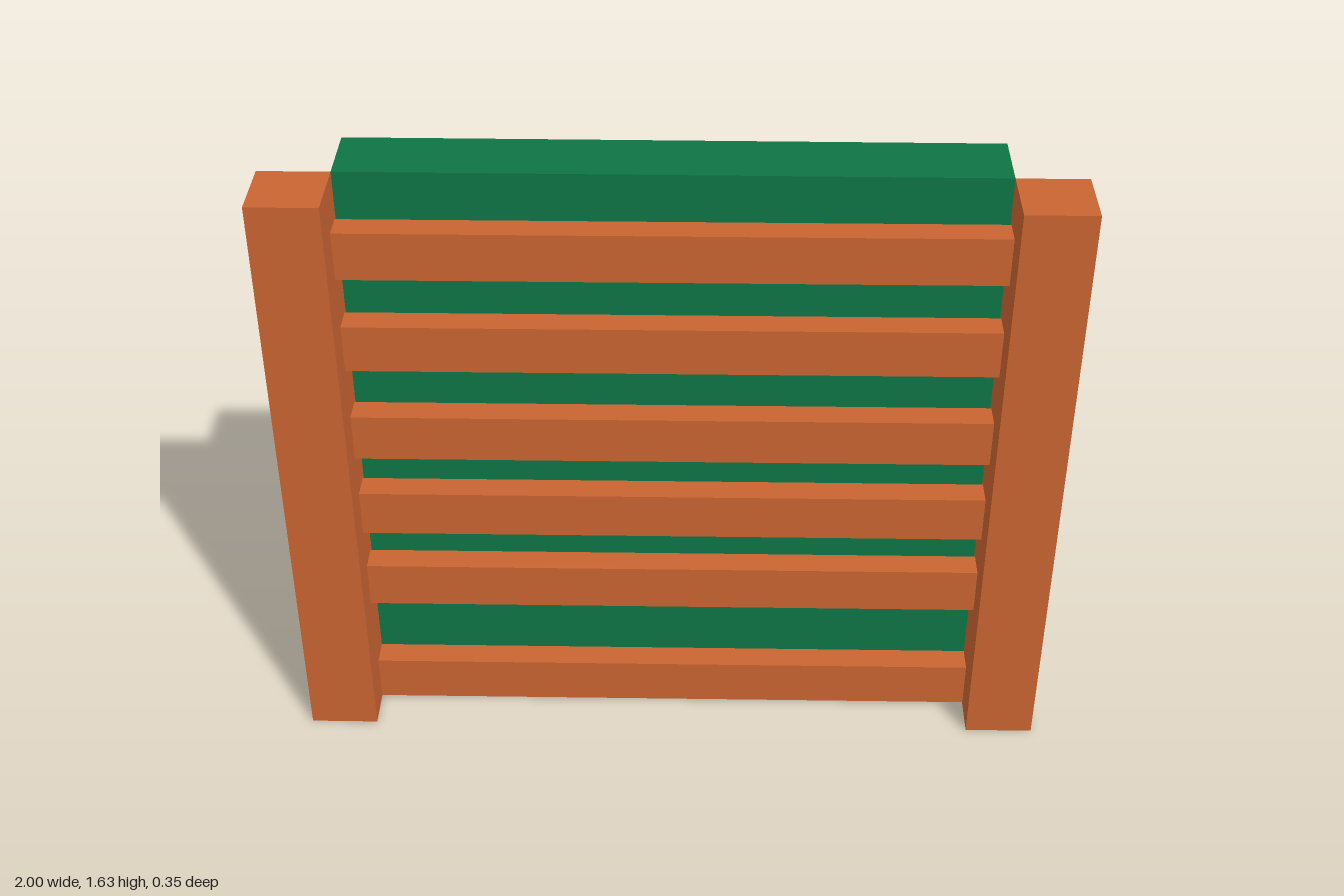
import * as THREE from 'three';

const orange = new THREE.MeshStandardMaterial({ color: 0xc86432, side: THREE.DoubleSide });
const green = new THREE.MeshStandardMaterial({ color: 0x0e7345, side: THREE.DoubleSide });

// Thin-walled box without its back (-z) wall, given by its limits
function openBox(name, material, [x0, x1], [y0, y1], [z0, z1]) {
  const geometry = new THREE.BoxGeometry(x1 - x0, y1 - y0, z1 - z0);
  geometry.setIndex(Array.from(geometry.index.array).slice(0, 30)); // the last six indices are the back
  geometry.clearGroups();
  const mesh = new THREE.Mesh(geometry, material);
  mesh.name = name;
  mesh.position.set((x0 + x1) / 2, (y0 + y1) / 2, (z0 + z1) / 2);
  return mesh;
}

export function createModel() {
  const model = new THREE.Group();
  model.name = 'slattedPanel';
  const height = 1.635, depth = 0.177, inner = 0.82;

  // Shallow tray, open to the back
  model.add(openBox('backPanel', green, [-inner, inner], [0, height], [-depth, 0]));

  // Hollow posts at both sides
  model.add(openBox('leftPost', orange, [inner, 1], [0, height], [0, depth]));
  model.add(openBox('rightPost', orange, [-1, -inner], [0, height], [0, depth]));

  // Hollow slats, their ends reaching into the posts, with a very slight tilt
  const slats = new THREE.Group();
  slats.name = 'slats';
  [0.003, 0.356, 0.6, 0.845, 1.118, 1.385].forEach((y, i) => {
    const lowest = i === 0;
    const x = lowest ? [-0.86, 0.955] : [-0.94, 0.885];
    const z = lowest ? [-0.001, 0.07] : [0.015, 0.085];
    const slat = openBox('slat' + (i + 1), orange, x, [y, y + 0.13], z);
    slat.rotation.z = 0.002;
    slats.add(slat);
  });
  model.add(slats);
  return model;
}
